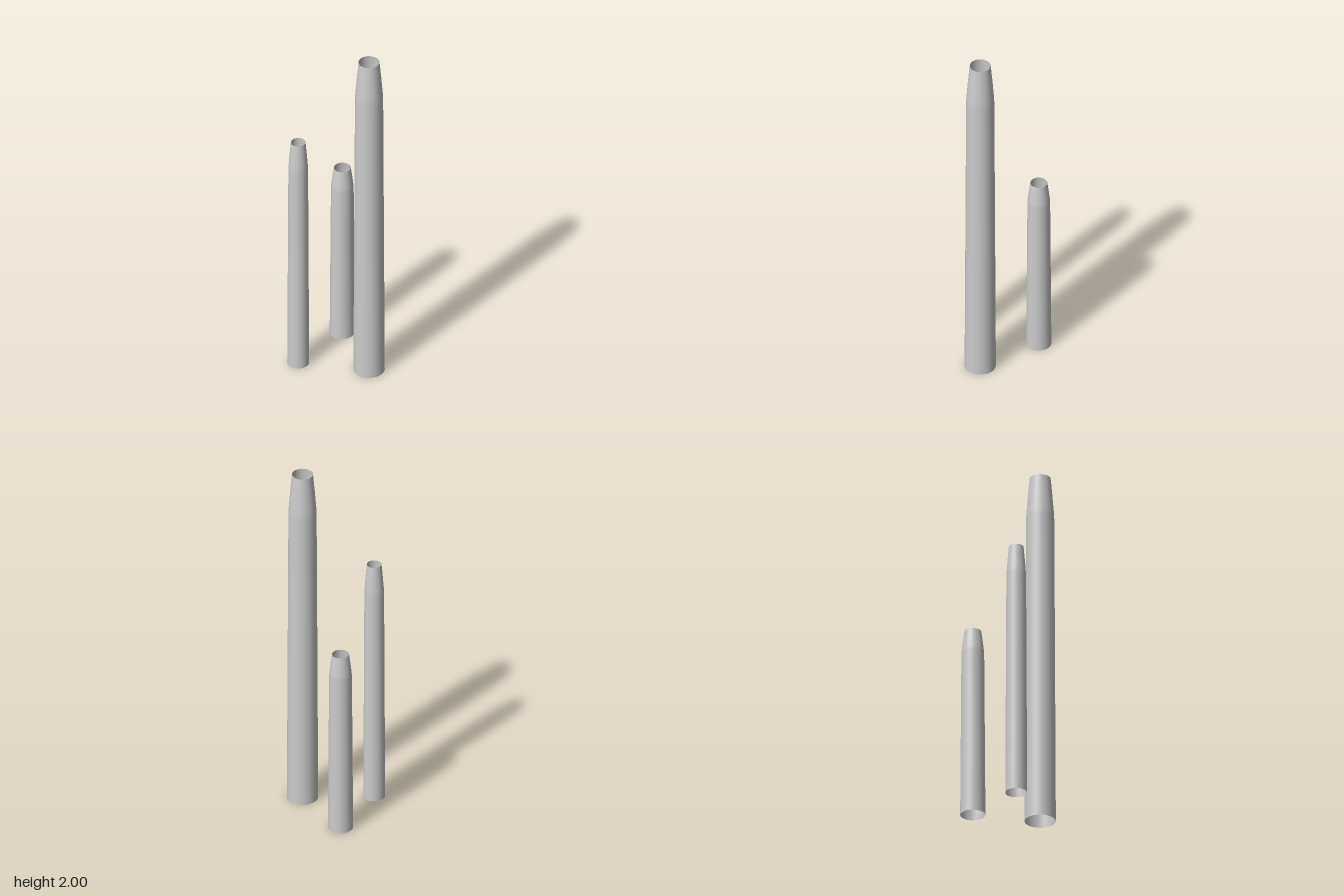
import * as THREE from 'three';

// Shared tube outline: [radius ratio, height ratio]
const PROFILE = [[1, 0], [0.9, 0.88], [0.875, 0.9], [0.78, 0.95], [0.67, 1]];

const TUBES = [
  { name: 'tallTube', x: 0.176, z: 0.14, radius: 0.083, height: 2 },
  { name: 'slenderTube', x: -0.203, z: 0.161, radius: 0.058, height: 1.435 },
  { name: 'shortTube', x: -0.033, z: -0.159, radius: 0.067, height: 1.07 },
];

export function createModel() {
  const group = new THREE.Group();
  const material = new THREE.MeshStandardMaterial({ color: 0xcccccc, side: THREE.DoubleSide });

  // Thin-walled tubes, open at both ends, narrowing at the top
  for (const { name, x, z, radius, height } of TUBES) {
    const points = PROFILE.map(([r, h]) => new THREE.Vector2(r * radius, h * height));
    const tube = new THREE.Mesh(new THREE.LatheGeometry(points, 32), material);
    tube.name = name;
    tube.position.set(x, 0, z);
    group.add(tube);
  }
  return group;
}
